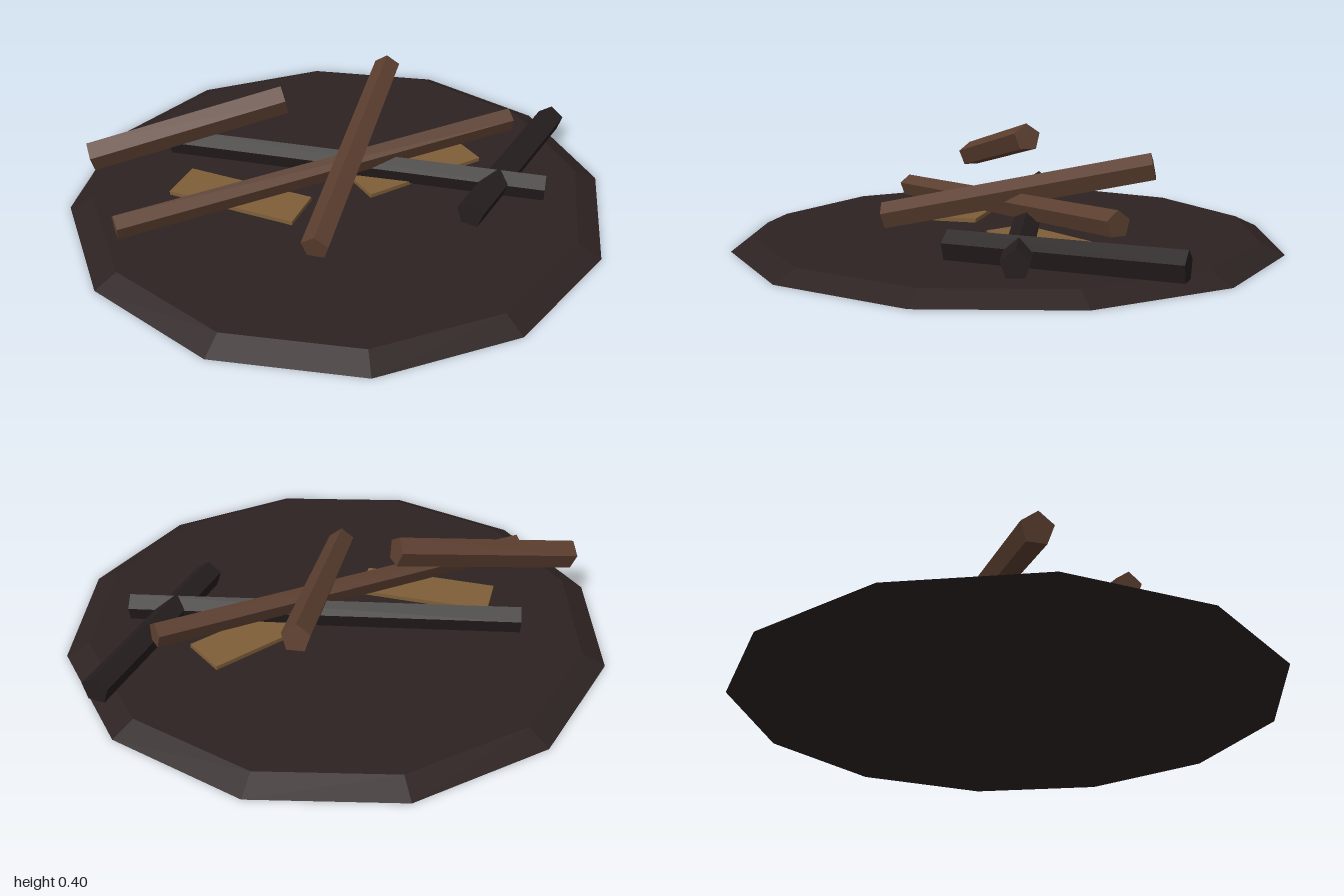
import * as THREE from 'three';

const mat = (name, color) => {
  const m = new THREE.MeshStandardMaterial({ color, flatShading: true });
  m.name = name;
  return m;
};

export function createModel() {
  const model = new THREE.Group();
  model.name = 'collapsedBeams';

  const scorched = mat('scorched ground', 0x2d2222);
  const charred = mat('charred wood', 0x261e1e);
  const brown = mat('brown wood', 0x5c3f30);
  const plank = mat('pale plank', 0x7f5f38);

  const add = (name, geometry, material) => {
    const mesh = new THREE.Mesh(geometry, material);
    mesh.name = name;
    model.add(mesh);
    return mesh;
  };

  // Twelve-sided ground disc with a bevelled rim
  add('groundDisc', new THREE.CylinderGeometry(0.915, 1, 0.04, 12), scorched).position.y = 0.02;

  // Five-sided beam between two end centres, one ridge kept upward
  const beam = (name, from, to, radius, material) => {
    const a = new THREE.Vector3(...from), b = new THREE.Vector3(...to);
    const geometry = new THREE.CylinderGeometry(radius, radius, a.distanceTo(b), 5);
    geometry.rotateX(-Math.PI / 2);
    const mesh = add(name, geometry, material);
    mesh.position.copy(a).add(b).multiplyScalar(0.5);
    mesh.lookAt(b);
  };
  beam('raisedBeam', [-0.905, 0.195, -0.042], [-0.19, 0.35, -0.122], 0.055, brown);
  beam('longBeam', [-0.81, 0.079, 0.25], [0.687, 0.176, -0.19], 0.046, brown);
  beam('leaningBeam', [-0.125, 0.079, 0.445], [0.247, 0.285, -0.475], 0.052, brown);
  beam('longCharredBeam', [-0.62, 0.1, -0.285], [0.75, 0.079, 0.157], 0.05, charred);
  beam('shortCharredBeam', [0.438, 0.083, 0.307], [0.905, 0.083, -0.335], 0.053, charred);

  // Thin planks lying on the disc
  const board = (name, x, z, angle) => {
    const mesh = add(name, new THREE.BoxGeometry(0.5, 0.015, 0.17), plank);
    mesh.position.set(x, 0.0475, z);
    mesh.rotation.y = angle;
  };
  board('leftPlank', 0.3, -0.077, 0.438);
  board('rightPlank', -0.37, 0.055, -0.5);

  return model;
}
